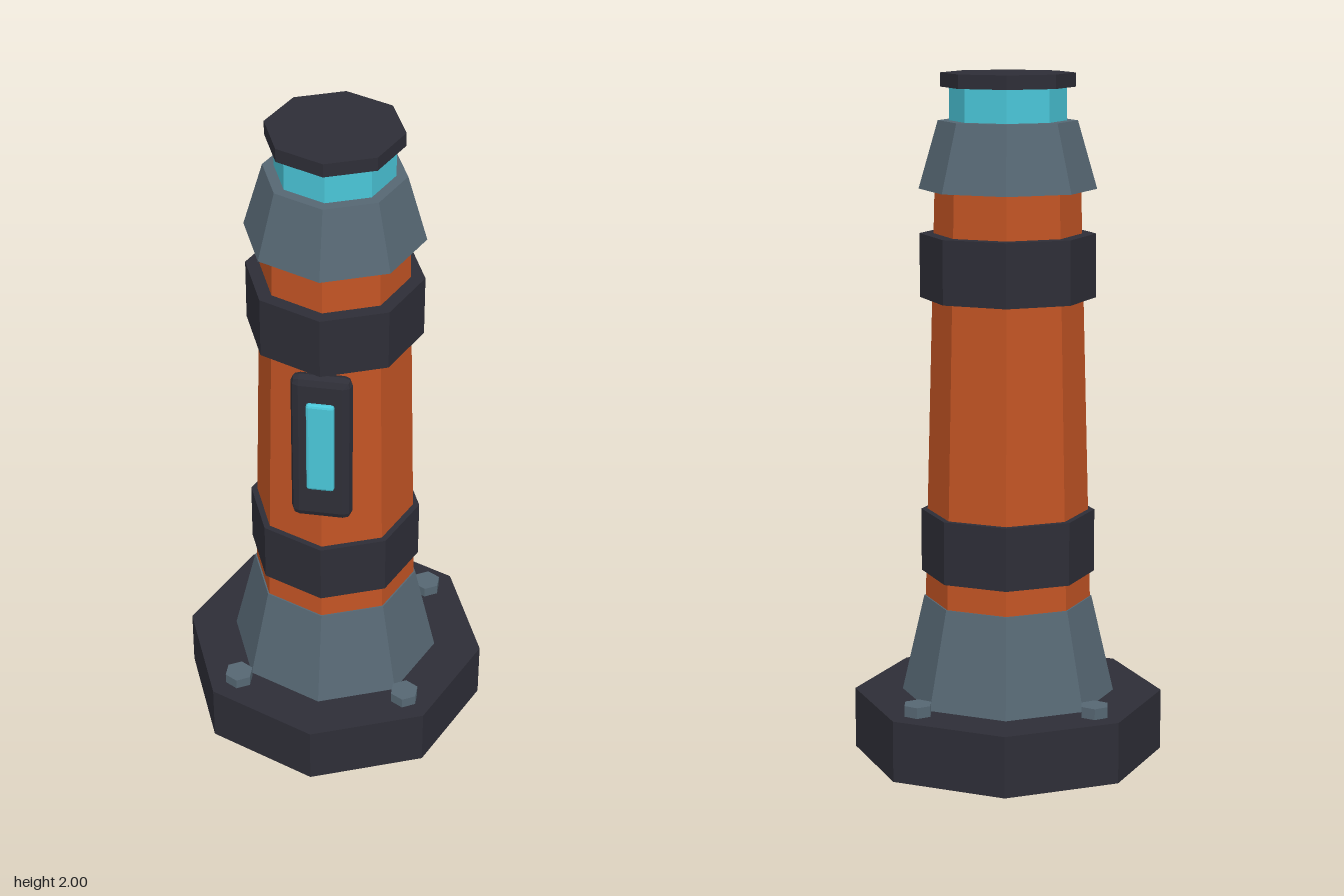
import * as THREE from 'three';
import { RoundedBoxGeometry } from 'three/addons/geometries/RoundedBoxGeometry.js';

const paint = (name, color) => {
  const m = new THREE.MeshStandardMaterial({ color });
  m.name = name;
  return m;
};

// Faceted look: unshared corners with one normal per face
function faceted(geometry) {
  const g = geometry.index ? geometry.toNonIndexed() : geometry;
  g.computeVertexNormals();
  return g;
}

export function createModel() {
  const model = new THREE.Group();
  model.name = 'beaconPillar';

  const dark = paint('darkMetal', 0x2e2e37);
  const steel = paint('blueGreySteel', 0x566773);
  const orange = paint('orangePaint', 0xc25424);
  const cyan = paint('cyanGlow', 0x4ac6d8);

  function add(name, geometry, material, x = 0, y = 0, z = 0) {
    const mesh = new THREE.Mesh(faceted(geometry), material);
    mesh.name = name;
    mesh.position.set(x, y, z);
    model.add(mesh);
  }

  // Stacked octagonal sections: name, colour, bottom y, top y, bottom radius, top radius
  const sections = [
    ['base', dark, 0, 0.18, 0.455, 0.455],
    ['lowerCollar', steel, 0.18, 0.468, 0.313, 0.247],
    ['body', orange, 0.45, 1.68, 0.243, 0.21],
    ['lowerBand', dark, 0.545, 0.73, 0.254, 0.254],
    ['upperBand', dark, 1.357, 1.542, 0.254, 0.254],
    ['upperCollar', steel, 1.67, 1.865, 0.256, 0.2],
    ['lens', cyan, 1.86, 1.965, 0.168, 0.168],
    ['cap', dark, 1.96, 2, 0.193, 0.193],
  ];
  for (const [name, material, y0, y1, r0, r1] of sections) {
    add(name, new THREE.CylinderGeometry(r1, r0, y1 - y0, 8), material, 0, (y0 + y1) / 2, 0);
  }

  // Hex bolts on the base corners
  for (const x of [-0.254, 0.254]) {
    for (const z of [-0.254, 0.254]) {
      add('bolt', new THREE.CylinderGeometry(0.043, 0.043, 0.04, 6), steel, x, 0.192, z);
    }
  }

  // Chamfered front panel with a light strip
  add('panel', new RoundedBoxGeometry(0.176, 0.495, 0.05, 1, 0.025), dark, 0, 1.093, 0.224);
  add('lightStrip', new RoundedBoxGeometry(0.08, 0.3, 0.03, 1, 0.008), cyan, 0, 1.11, 0.248);

  return model;
}
